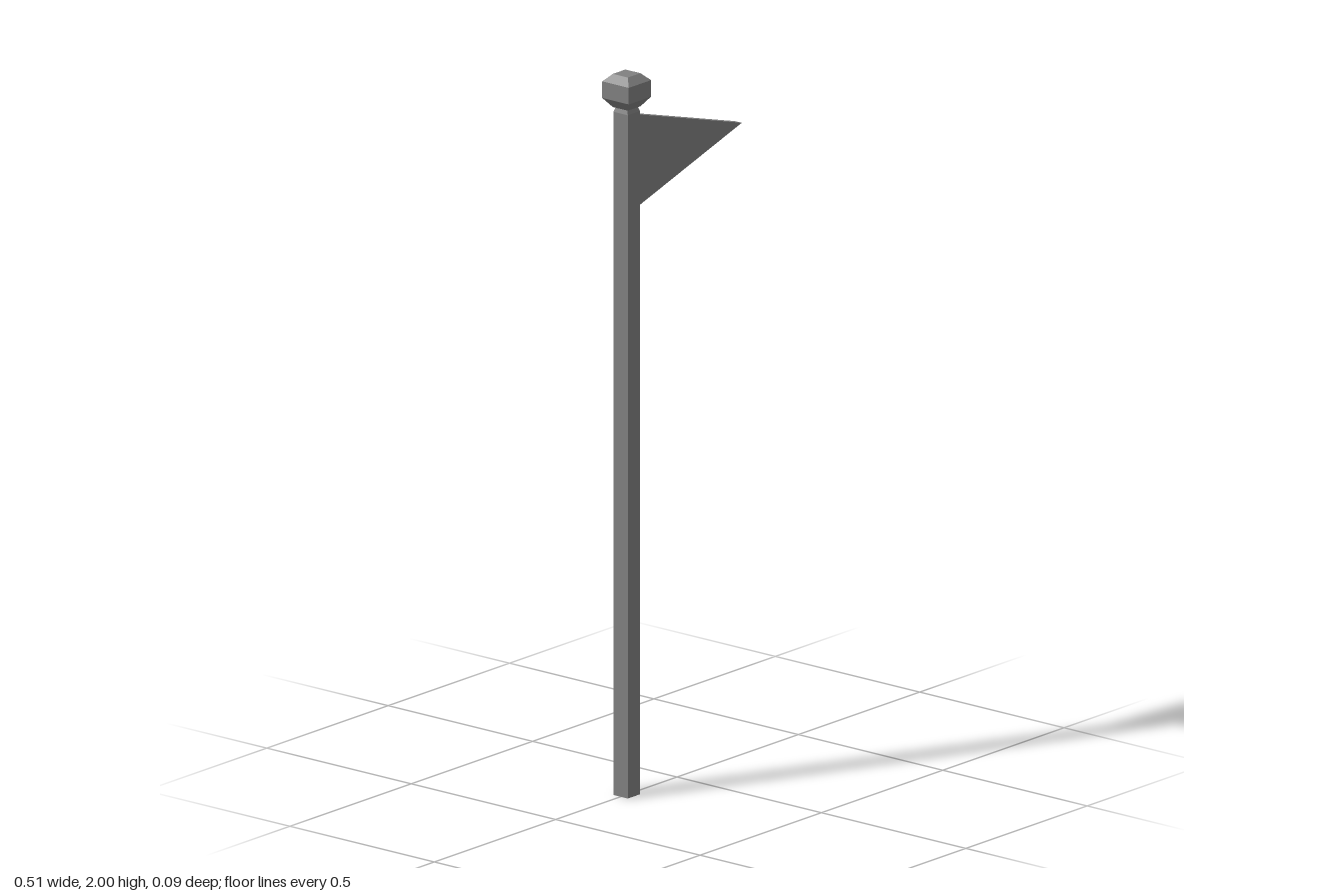
import * as THREE from 'three';

const POLE_X = -0.2075;

// Square-section solid from [half width, y] pairs, listed bottom to top
function squareLathe(profile) {
  const points = profile.map(([half, y]) => new THREE.Vector2(half * Math.SQRT2, y));
  return new THREE.LatheGeometry(points, 4, Math.PI / 4);
}

export function createModel() {
  const group = new THREE.Group();
  const material = new THREE.MeshStandardMaterial({ color: 0x808080, flatShading: true });

  const add = (name, geometry) => {
    const mesh = new THREE.Mesh(geometry, material);
    mesh.name = name;
    group.add(mesh);
    return mesh;
  };

  // Square pole, slightly bevelled at the top
  add('pole', squareLathe([[0, 0], [0.025, 0], [0.025, 1.895], [0.02, 1.91], [0, 1.91]]))
    .position.x = POLE_X;

  // Bevelled square knob on top
  add('finial', squareLathe([[0, 1.908], [0.026, 1.908], [0.046, 1.934], [0.046, 1.98], [0.026, 2], [0, 2]]))
    .position.x = POLE_X;

  // Triangular pennant
  const thickness = 0.023;
  const outline = new THREE.Shape([
    new THREE.Vector2(-0.184, 1.623),
    new THREE.Vector2(0.2535, 1.757),
    new THREE.Vector2(-0.184, 1.884),
  ]);
  add('pennant', new THREE.ExtrudeGeometry(outline, { depth: thickness, bevelEnabled: false }))
    .position.z = -thickness / 2;

  return group;
}
